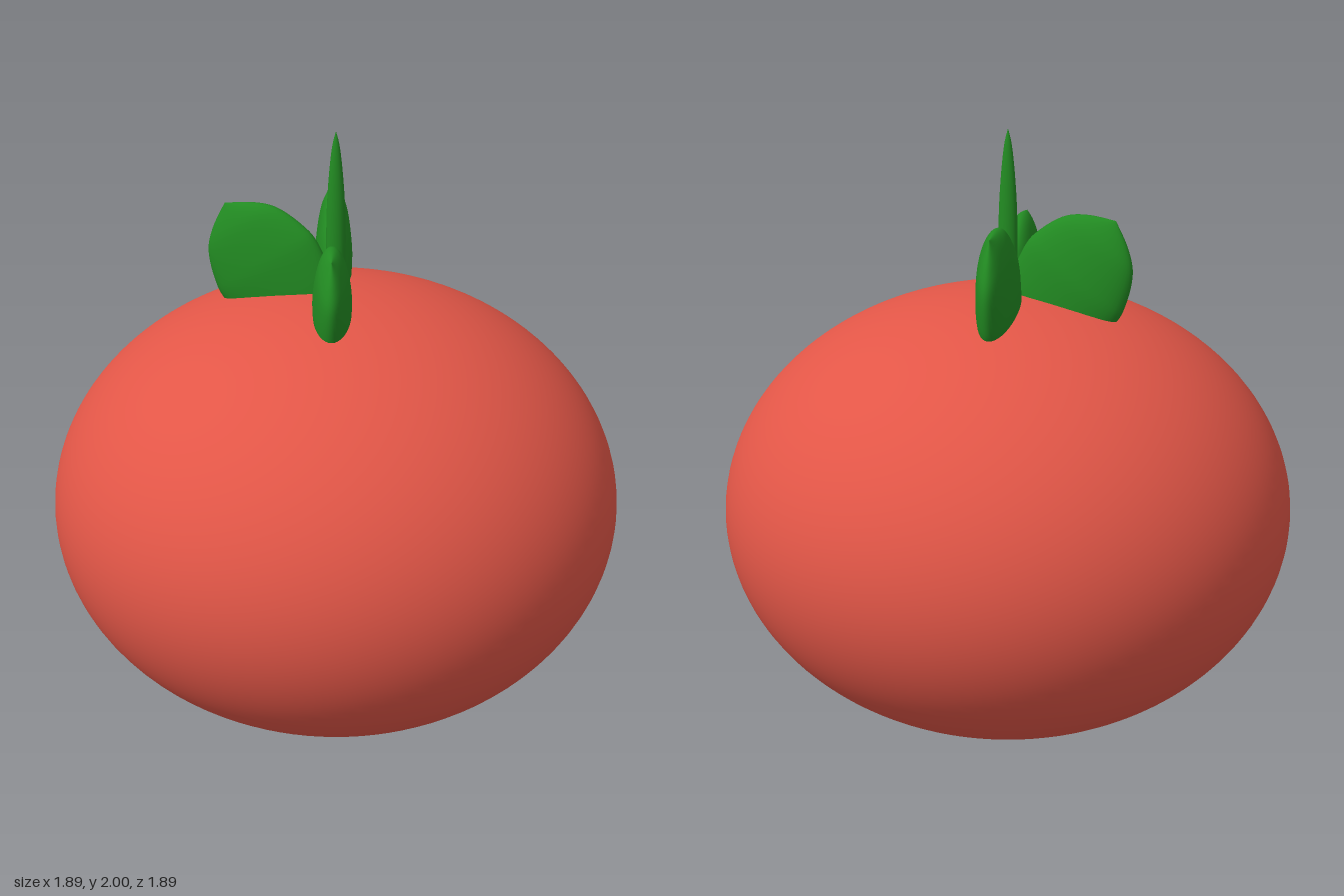
import * as THREE from 'three';

const red = new THREE.MeshStandardMaterial({ color: 0xe25647 });
const green = new THREE.MeshStandardMaterial({ color: 0x228b22 });

// Turned shape from [radius, height] points listed bottom to top, smoothed by a spline
function spindle(points, steps, sides) {
  const curve = new THREE.SplineCurve(points.map(([r, y]) => new THREE.Vector2(r, y)));
  const profile = curve.getPoints(steps).map((p) => new THREE.Vector2(Math.max(p.x, 0), p.y));
  return new THREE.LatheGeometry(profile, sides);
}

// Thick leaf with its tip at the origin, flattened in z
const leafShape = spindle([
  [0, -0.56], [0.09, -0.51], [0.16, -0.41], [0.192, -0.27],
  [0.182, -0.19], [0.142, -0.1], [0.082, -0.045], [0, 0],
], 40, 40);

function makeLeaf({ name, heading, reach, height, size, x, z }) {
  const pivot = new THREE.Group();
  pivot.name = name;
  pivot.position.set(x, 0, z);
  pivot.rotation.y = heading;
  const leaf = new THREE.Mesh(leafShape, green);
  leaf.name = name + 'Blade';
  leaf.scale.set(size, size, 0.32);
  leaf.rotation.z = -0.61; // leans outward
  leaf.position.set(reach, height, 0);
  pivot.add(leaf);
  return pivot;
}

export function createModel() {
  const model = new THREE.Group();
  model.name = 'tomato';

  // Squashed round fruit
  const fruit = new THREE.Mesh(new THREE.SphereGeometry(1, 96, 64), red);
  fruit.name = 'fruit';
  fruit.scale.set(0.945, 0.738, 0.945);
  fruit.position.y = 0.742;
  model.add(fruit);

  // Pointed upright stem
  const stem = new THREE.Mesh(spindle([
    [0, 1.3], [0.024, 1.4], [0.029, 1.52], [0.031, 1.64],
    [0.029, 1.75], [0.022, 1.86], [0.012, 1.95], [0, 2],
  ], 32, 24), green);
  stem.name = 'stem';
  stem.scale.z = 0.78;
  model.add(stem);

  // Three leaves around the stem
  const leaves = [
    { name: 'frontLeaf', heading: -Math.PI / 2, reach: 0.3, height: 1.68, size: 0.88, x: -0.01, z: 0 },
    { name: 'backLeaf', heading: Math.PI / 2, reach: 0.36, height: 1.725, size: 1, x: -0.01, z: 0 },
    { name: 'rightLeaf', heading: Math.PI - 0.27, reach: 0.365, height: 1.74, size: 1, x: -0.005, z: 0.005 },
  ];
  leaves.forEach((leaf) => model.add(makeLeaf(leaf)));

  return model;
}
